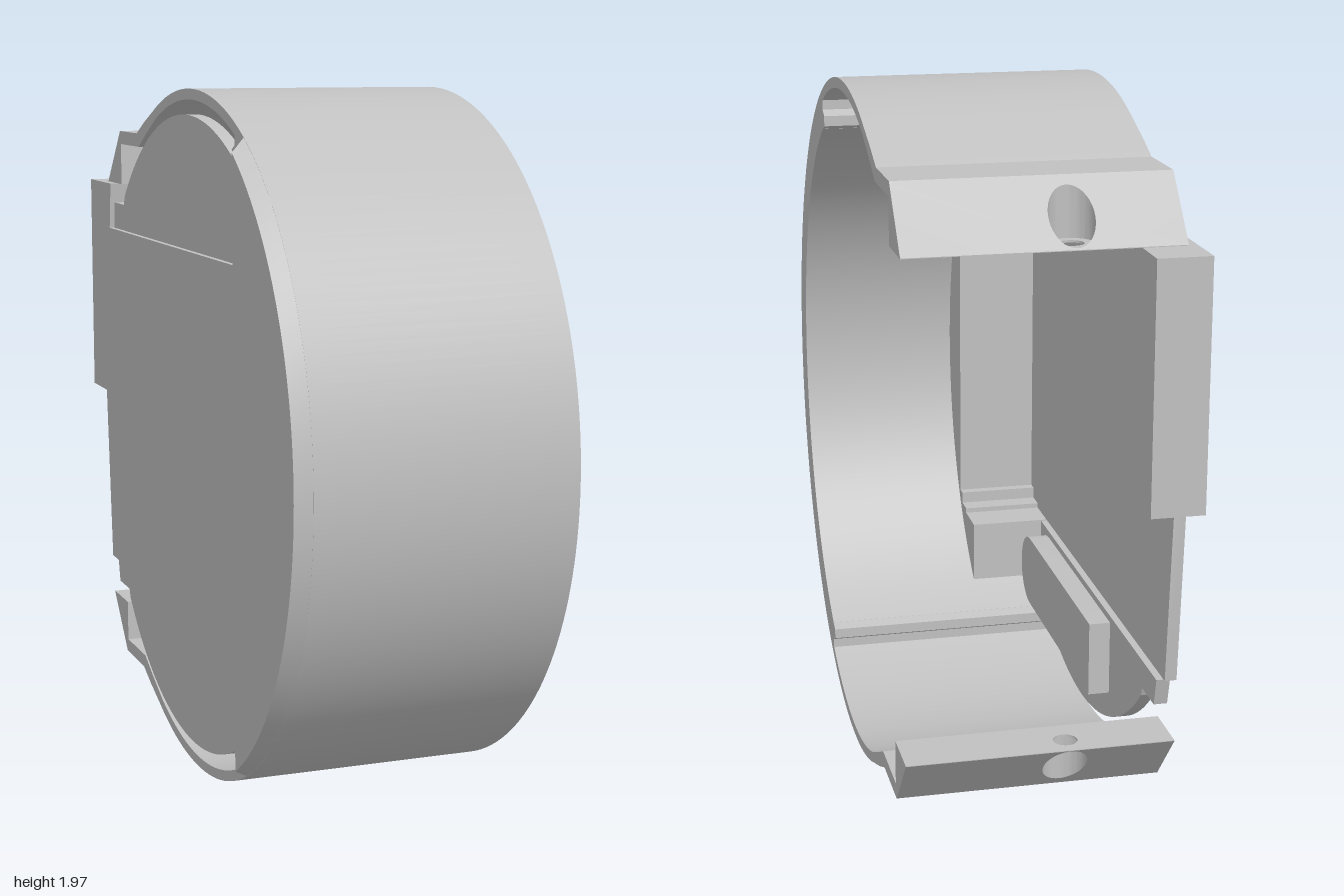
import * as THREE from 'three';
import { toCreasedNormals } from 'three/addons/utils/BufferGeometryUtils.js';

const CY = 0.985, CZ = 0.012, R = 0.985, R_IN = 0.878;

// Points [z, y] on a circle, from angle a0 to a1 (0 = front, PI/2 = top)
function arc(r, a0, a1, n = 40, cz = CZ) {
  const pts = [];
  for (let i = 0; i <= n; i++) {
    const a = a0 + (a1 - a0) * i / n;
    pts.push([cz + r * Math.cos(a), CY + r * Math.sin(a)]);
  }
  return pts;
}
const angleAt = (r, z, cz = CZ) => Math.acos((z - cz) / r);

// Extrude a side-on outline of [z, y] points from x0 to x1
function slab(points, x0, x1) {
  const shape = new THREE.Shape(points.map(([z, y]) => new THREE.Vector2(-z, y)));
  const geo = new THREE.ExtrudeGeometry(shape, { depth: x1 - x0, bevelEnabled: false });
  return geo.rotateY(Math.PI / 2).translate(x0, 0, 0);
}

export function createModel() {
  const model = new THREE.Group();
  model.name = 'ringHousing';
  const grey = new THREE.MeshStandardMaterial({ color: 0xc0c0c0 });
  grey.name = 'light grey';

  function add(parent, name, geo) {
    const mesh = new THREE.Mesh(toCreasedNormals(geo, 0.3), grey);
    mesh.name = name;
    parent.add(mesh);
  }

  // Thick front half of the band
  const ao = angleAt(R, 0.4), ai = angleAt(R_IN, 0.4);
  add(model, 'frontBand', slab([...arc(R, -ao, ao, 64), ...arc(R_IN, ai, -ai, 64)], -0.34, 0.39));

  // Raised outer cap with a sloping rear edge
  const ac = angleAt(R, 0.47), af = angleAt(R, 0.53);
  const cap = slab(arc(R, -ac, ac, 64), -0.39, -0.335);
  const p = cap.attributes.position;
  for (let i = 0; i < p.count; i++) {
    if (p.getX(i) < -0.38) {
      const a = Math.atan2(p.getY(i) - CY, p.getZ(i) - CZ) * af / ac;
      p.setY(i, CY + (R - 0.006) * Math.sin(a));
      p.setZ(i, CZ + (R - 0.006) * Math.cos(a));
    }
  }
  add(model, 'frontCap', cap);

  // Central panel of the side wall
  add(model, 'sidePanel', slab(
    [[0.73, 1.52], [-0.79, 1.52], [-0.845, 0.99], [-0.8, 0.45], [0.73, 0.45]], -0.365, -0.332));

  // Rear tab
  add(model, 'rearTab', slab([[-0.76, 1.66], [-1, 1.66], [-1, 0.99], [-0.845, 0.99]], -0.365, -0.22));

  // Parts repeated above and below the middle
  for (const upper of [true, false]) {
    const half = new THREE.Group();
    half.name = upper ? 'upperHalf' : 'lowerHalf';
    if (!upper) {
      half.scale.y = -1;
      half.position.y = 2 * CY;
    }
    model.add(half);

    // Thin springy arm with its stepped end
    const ri = 0.955;
    add(half, 'arm', slab([
      ...arc(R, angleAt(R, 0.4), angleAt(R, -0.36)),
      [-0.46, 1.86], [-0.54, 1.825], [-0.73, 1.825], [-0.73, 1.66], [-0.72, 1.66], [-0.72, 1.785],
      [-0.52, 1.785], [-0.44, 1.826],
      ...arc(ri, angleAt(ri, -0.34), angleAt(ri, 0.4)),
    ], -0.34, 0.39));

    // Small lip where the thick band meets the arm
    add(half, 'bandLip', slab([[0.42, 1.765], [0.37, 1.785], [0.37, 1.815], [0.42, 1.84]], -0.34, 0.39));

    // Wedge at the arm end with a screw hole
    const wedgeShape = new THREE.Shape([[-0.34, 0.73], [0.39, 0.73], [0.39, 0.875], [-0.34, 0.875]]
      .map(([x, v]) => new THREE.Vector2(x, v)));
    wedgeShape.holes.push(new THREE.Path().absarc(-0.055, 0.81, 0.06, 0, Math.PI * 2, true));
    const wedge = new THREE.ExtrudeGeometry(wedgeShape, { depth: 1, bevelEnabled: false, curveSegments: 24 });
    wedge.rotateX(-Math.PI / 2);
    const w = wedge.attributes.position;
    for (let i = 0; i < w.count; i++) {
      const top = 1.66 + Math.max(0.002, (w.getZ(i) + 0.875) / 0.145 * 0.165);
      w.setY(i, w.getY(i) > 0.5 ? top : 1.66);
    }
    add(half, 'armWedge', wedge);

    // Washer-like floor of the screw hole
    const floor = new THREE.Shape().absarc(-0.055, 0.81, 0.06, 0, Math.PI * 2, false);
    floor.holes.push(new THREE.Path().absarc(-0.055, 0.81, 0.033, 0, Math.PI * 2, true));
    add(half, 'screwSeat', new THREE.ExtrudeGeometry(floor,
      { depth: 0.006, bevelEnabled: false, curveSegments: 24 }).rotateX(-Math.PI / 2).translate(0, 1.66, 0));

    // Rounded part of the side wall
    add(half, 'sideWall', slab([
      ...arc(0.913, angleAt(0.913, 0.5, 0), angleAt(0.913, -0.65, 0), 40, 0),
      [-0.66, 1.6], [-0.77, 1.6], [-0.79, 1.52], [0.5, 1.52],
    ], -0.35, -0.312));

    // Raised pad, rounded at the front
    const pad = [[-0.33, 1.76], [-0.33, 1.54]];
    for (let i = 0; i <= 16; i++) {
      const a = -Math.PI / 2 + Math.PI * i / 16;
      pad.push([0.4 + 0.11 * Math.cos(a), 1.65 + 0.11 * Math.sin(a)]);
    }
    add(half, 'innerPad', slab(pad, -0.33, -0.25));

    // Ledge inside the front, stepped around the pocket
    add(half, 'frontLedge', slab([
      ...arc(R_IN + 0.004, 0, angleAt(R_IN + 0.004, 0.51)),
      [0.51, 1.52], [0.63, 1.52], [0.63, 1.505], [0.69, 1.505], [0.69, 1.47], [0.72, 1.47], [0.72, CY],
    ], -0.345, -0.09));
  }
  return model;
}
